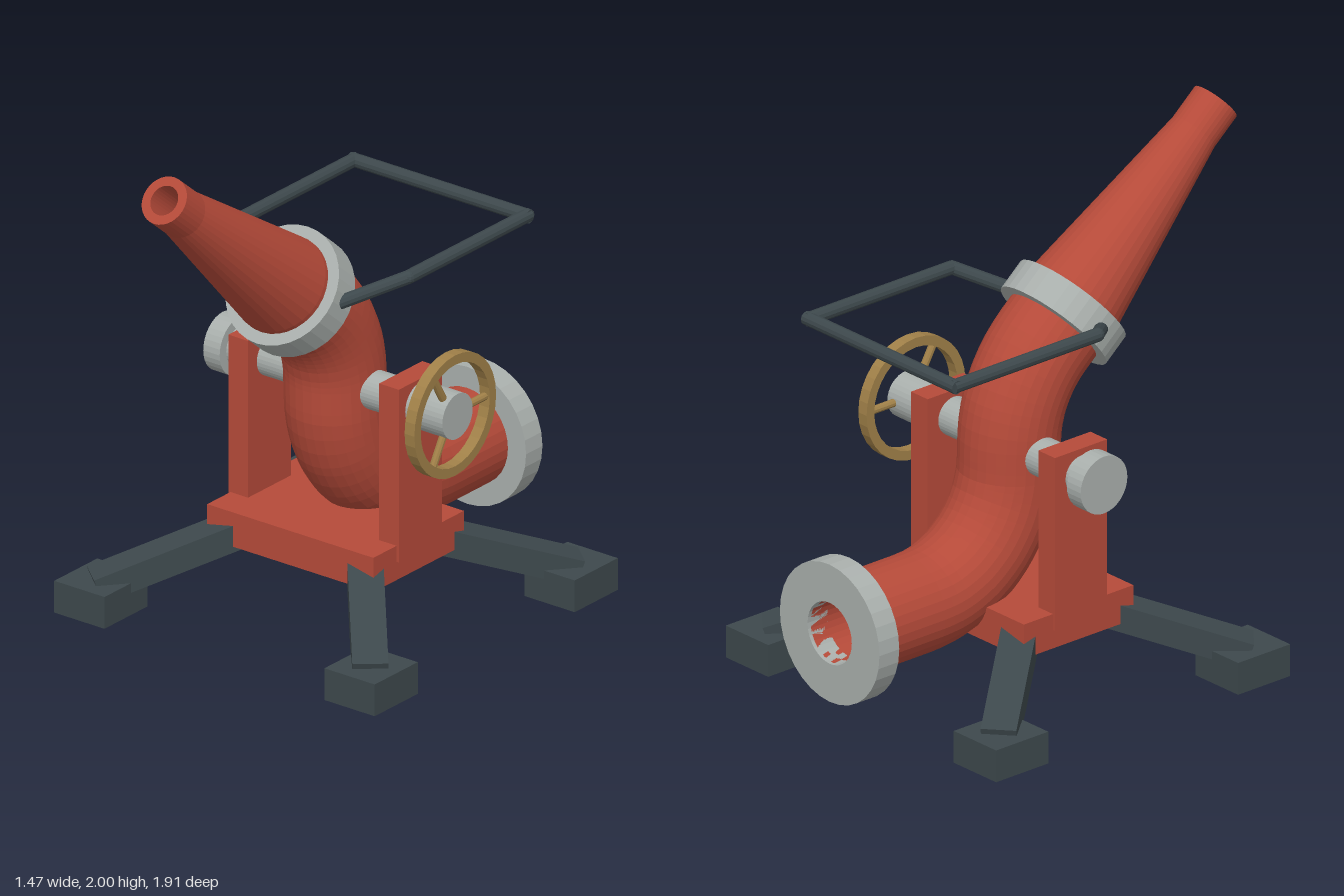
import * as THREE from 'three';

const mat = (color, side = THREE.FrontSide) =>
  new THREE.MeshStandardMaterial({ color, side, flatShading: true });
const RED = mat(0xb54a39), METAL = mat(0xa9afac), DARK = mat(0x3d484c), BRASS = mat(0xa08048);
const V = (x, y, z) => new THREE.Vector3(x, y, z);
const UP = V(0, 1, 0);

const PIVOT_Y = 0.886, PIVOT_Z = -0.095; // elevation axis
const BEND = 0.455, PIPE_R = 0.187, BORE_R = 0.12;
const TILT = THREE.MathUtils.degToRad(40); // barrel elevation
const AIM = V(0, Math.sin(TILT), Math.cos(TILT));
const COLLAR = V(0, 1.316, 0.165);

export function createModel() {
  const model = new THREE.Group();

  const add = (name, geometry, material, x = 0, y = 0, z = 0, parent = model) => {
    const mesh = new THREE.Mesh(geometry, material);
    mesh.name = name;
    mesh.position.set(x, y, z);
    parent.add(mesh);
    return mesh;
  };
  const box = (name, w, h, d, material, x, y, z) =>
    add(name, new THREE.BoxGeometry(w, h, d), material, x, y, z);
  // cylinder between two points
  const rod = (name, a, b, r, material, sides = 32, parent = model) => {
    const mid = a.clone().add(b).multiplyScalar(0.5);
    const mesh = add(name, new THREE.CylinderGeometry(r, r, a.distanceTo(b), sides), material, mid.x, mid.y, mid.z, parent);
    mesh.quaternion.setFromUnitVectors(UP, b.clone().sub(a).normalize());
    return mesh;
  };
  const lathe = (pts, sides = 32) =>
    new THREE.LatheGeometry(pts.map(p => new THREE.Vector2(...p)), sides);
  const ring = (ri, ro, h) => lathe([[ri, 0], [ro, 0], [ro, h], [ri, h], [ri, 0]]);

  // water pipe: inlet, lower elbow, upper elbow, up to the collar
  const points = [V(0, 0.385, -0.94)];
  for (let i = 0; i <= 12; i++) {
    const a = (i / 12) * Math.PI / 2;
    points.push(V(0, 0.385 + BEND * (1 - Math.cos(a)), PIVOT_Z - BEND + BEND * Math.sin(a)));
  }
  for (let i = 0; i <= 8; i++) {
    const a = (i / 8) * (Math.PI / 2 - TILT);
    points.push(V(0, PIVOT_Y + BEND * Math.sin(a), PIVOT_Z + BEND * (1 - Math.cos(a))));
  }
  points.push(COLLAR);
  const path = new THREE.CurvePath();
  for (let i = 1; i < points.length; i++) path.add(new THREE.LineCurve3(points[i - 1], points[i]));
  add('pipe', new THREE.TubeGeometry(path, 40, PIPE_R, 32), RED);
  add('pipeBore', new THREE.TubeGeometry(path, 40, BORE_R, 32), mat(0xb54a39, THREE.BackSide));
  add('inletFlange', ring(BORE_R, 0.27, 0.095), METAL, 0, 0.385, -0.955).rotation.x = Math.PI / 2;

  // collar and tapered nozzle
  rod('collar', COLLAR.clone().addScaledVector(AIM, -0.061), COLLAR.clone().addScaledVector(AIM, 0.061), 0.232, METAL);
  const nozzle = add('nozzle', lathe([
    [PIPE_R, 0], [PIPE_R, 0.08], [0.0925, 0.815], [0.0925, 0.954],
    [0.057, 0.954], [0.057, 0.5], [0, 0.5],
  ]), RED, ...COLLAR.toArray());
  nozzle.quaternion.setFromUnitVectors(UP, AIM);

  // base block
  box('base', 0.76, 0.135, 0.525, RED, 0, 0.3025, -0.0975);

  for (const s of [-1, 1]) {
    // yoke upright and trunnion
    box('upright', 0.09, 0.68, 0.25, RED, s * 0.345, 0.647, PIVOT_Z);
    rod('trunnion', V(s * 0.1, PIVOT_Y, PIVOT_Z), V(s * 0.45, PIVOT_Y, PIVOT_Z), 0.074, METAL);

    // sloping legs with block feet
    for (const f of [-1, 1]) {
      const zc = -0.1;
      const inner = V(s * 0.27, 0.285, zc + f * 0.175);
      const outer = V(s * 0.63, 0.1, zc + f * 0.6);
      const leg = add('leg', new THREE.BoxGeometry(0.13, 0.1, inner.distanceTo(outer)), DARK,
        ...inner.clone().add(outer).multiplyScalar(0.5).toArray());
      leg.lookAt(outer);
      box('foot', 0.23, 0.125, 0.25, DARK, s * 0.618, 0.0625, zc + f * 0.58);
    }

    // side bars of the steering handle
    const root = V(s * 0.215, 1.325, 0.155), knee = V(s * 0.395, 1.415, -0.02), back = V(s * 0.395, 1.415, -0.715);
    rod('handleArm', root, knee, 0.026, DARK, 12);
    rod('handleSide', knee, back, 0.026, DARK, 12);
    add('handleKnee', new THREE.SphereGeometry(0.026, 12, 8), DARK, ...knee.toArray());
  }
  rod('handleBar', V(-0.41, 1.415, -0.705), V(0.41, 1.415, -0.705), 0.026, DARK, 12);

  // end cap on one side, handwheel on the other
  rod('trunnionCap', V(-0.515, PIVOT_Y, PIVOT_Z), V(-0.44, PIVOT_Y, PIVOT_Z), 0.112, METAL);
  rod('wheelHub', V(0.39, PIVOT_Y, PIVOT_Z), V(0.56, PIVOT_Y, PIVOT_Z), 0.088, METAL);
  const wheel = new THREE.Group();
  wheel.name = 'handwheel';
  wheel.position.set(0.527, PIVOT_Y, PIVOT_Z);
  model.add(wheel);
  add('wheelRim', ring(0.2, 0.237, 0.045), BRASS, 0.0225, 0, 0, wheel).rotation.z = Math.PI / 2;
  for (let i = 0; i < 3; i++) {
    const a = (i / 3) * Math.PI * 2;
    rod('wheelSpoke', V(0, 0, 0), V(0, Math.sin(a) * 0.21, -Math.cos(a) * 0.21), 0.015, BRASS, 10, wheel);
  }

  return model;
}
